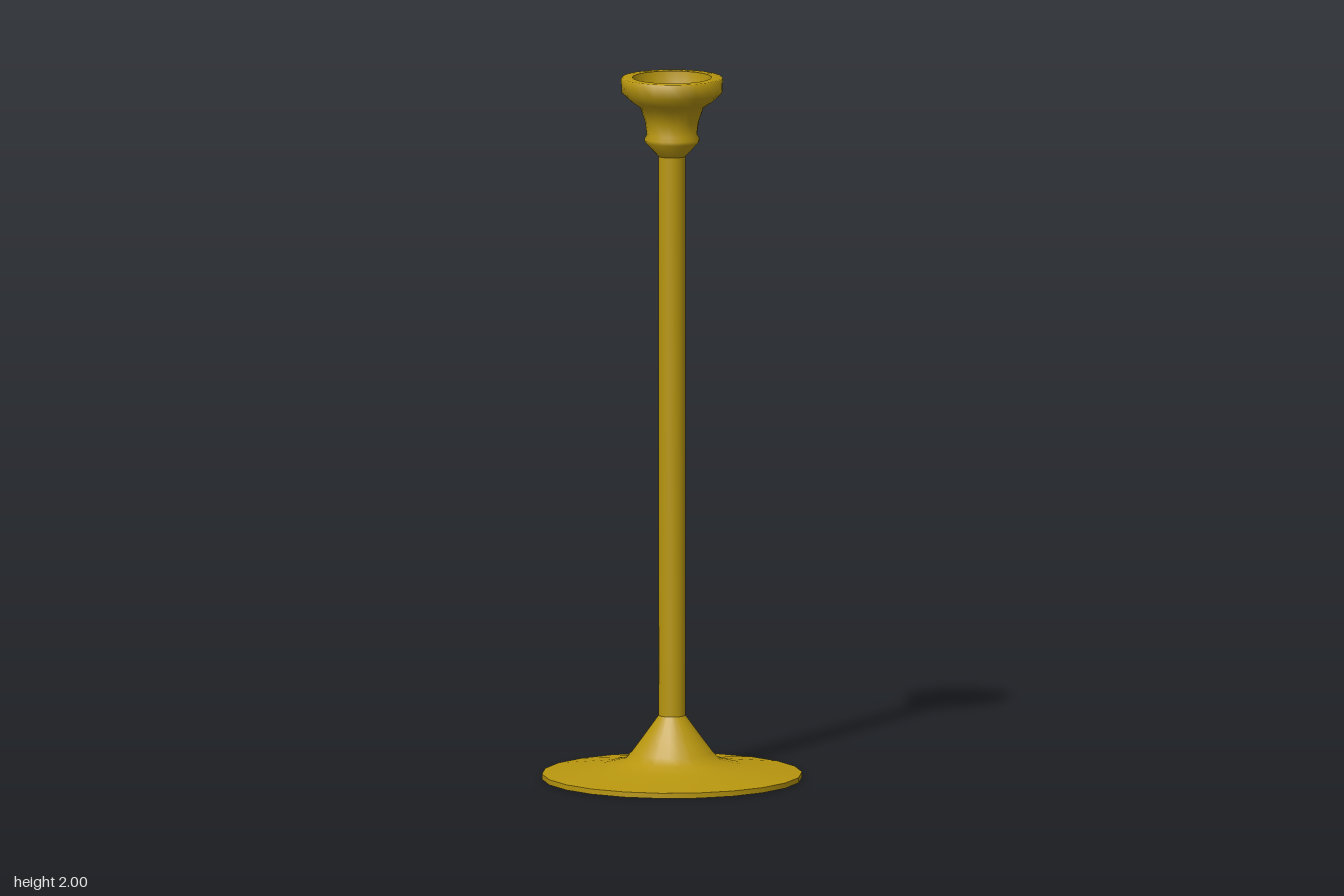
import * as THREE from 'three';
import { toCreasedNormals } from 'three/addons/utils/BufferGeometryUtils.js';

const SIDES = 22;

export function createModel() {
  const group = new THREE.Group();
  group.name = 'candlestick';
  const brass = new THREE.MeshStandardMaterial({ color: 0xb8960f });

  // Turns a profile of [radius, height] pairs around the y axis
  function turned(name, profile) {
    const points = profile.map(([r, y]) => new THREE.Vector2(r, y));
    const geometry = toCreasedNormals(new THREE.LatheGeometry(points, SIDES), 0.9);
    const mesh = new THREE.Mesh(geometry, brass);
    mesh.name = name;
    group.add(mesh);
  }

  // Wide foot with a flat underside, flaring up into the stem
  turned('base', [
    [0, 0], [0.367, 0], [0.367, 0.015], [0.29, 0.025], [0.2, 0.037],
    [0.135, 0.053], [0.115, 0.075], [0.08, 0.122], [0.038, 0.18],
  ]);

  // Long straight stem
  turned('stem', [[0.038, 0.18], [0.038, 1.775]]);

  // Collar, waisted neck, rim and hollow bowl
  turned('candleCup', [
    [0.038, 1.775], [0.076, 1.815], [0.078, 1.825], [0.071, 1.838],
    [0.076, 1.875], [0.09, 1.915], [0.115, 1.932], [0.142, 1.957],
    [0.144, 1.997], [0.141, 2], [0.112, 2],
    [0.108, 1.965], [0.094, 1.93], [0.068, 1.9], [0.035, 1.885], [0, 1.88],
  ]);

  return group;
}
